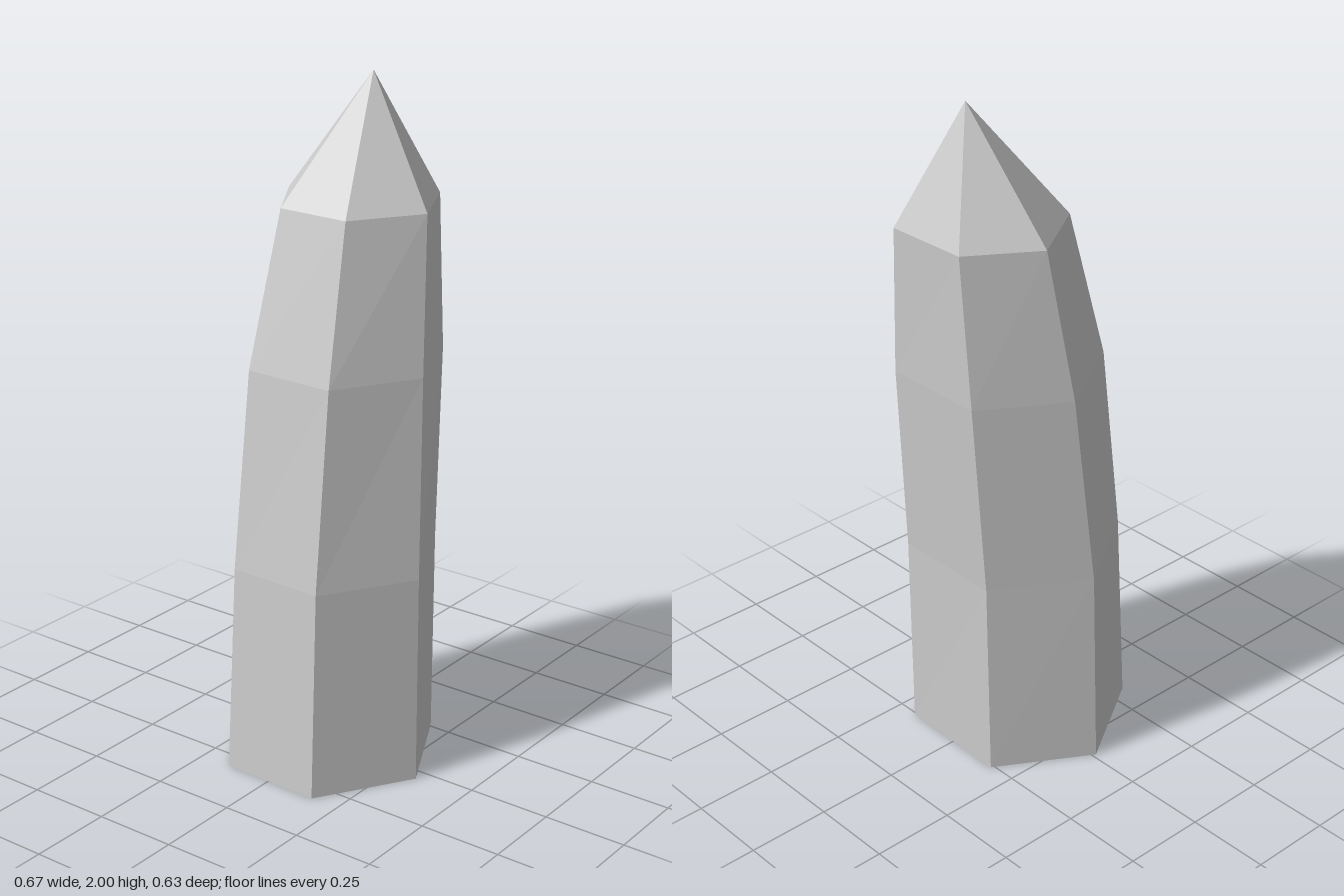
import * as THREE from 'three';

// Hexagonal cross-sections [x, z], counter-clockwise seen from above:
// left, back left, back right, right, front right, front left
const SECTIONS = [
  { y: 0, ring: [[0.333, 0.042], [0.18, -0.257], [-0.17, -0.26], [-0.335, 0.012], [-0.15, 0.308], [0.161, 0.315]] },
  { y: 0.62, ring: [[0.32, 0.022], [0.177, -0.267], [-0.165, -0.268], [-0.328, -0.004], [-0.143, 0.275], [0.155, 0.285]] },
  { y: 1.2, ring: [[0.29, -0.028], [0.17, -0.301], [-0.15, -0.302], [-0.298, -0.06], [-0.136, 0.207], [0.146, 0.213]] },
  { y: 1.645, ring: [[0.25, -0.095], [0.14, -0.317], [-0.118, -0.312], [-0.244, -0.117], [-0.107, 0.096], [0.12, 0.103]] },
];
const TIP = [0.012, 2, -0.17];
const SIDES = 6;

function facetedMesh(name, positions) {
  const geometry = new THREE.BufferGeometry();
  geometry.setAttribute('position', new THREE.Float32BufferAttribute(positions, 3));
  geometry.computeVertexNormals();
  const material = new THREE.MeshStandardMaterial({ color: 0xcccccc, flatShading: true });
  const mesh = new THREE.Mesh(geometry, material);
  mesh.name = name;
  return mesh;
}

export function createModel() {
  const point = (s, j) => {
    const [x, z] = SECTIONS[s].ring[j % SIDES];
    return [x, SECTIONS[s].y, z];
  };
  const top = SECTIONS.length - 1;
  const shaft = [], point6 = [], base = [];

  for (let j = 0; j < SIDES; j++) {
    // Leaning, tapering shaft walls
    for (let s = 0; s < top; s++) {
      const a = point(s, j), b = point(s, j + 1), c = point(s + 1, j + 1), d = point(s + 1, j);
      shaft.push(...a, ...b, ...c, ...a, ...c, ...d);
    }
    // Pointed end
    point6.push(...point(top, j), ...point(top, j + 1), ...TIP);
    // Flat underside
    base.push(...point(0, j + 1), ...point(0, j), 0, 0, 0.027);
  }

  const model = new THREE.Group();
  model.name = 'crystal';
  model.add(
    facetedMesh('crystalShaft', shaft),
    facetedMesh('crystalTip', point6),
    facetedMesh('crystalBase', base),
  );
  return model;
}
